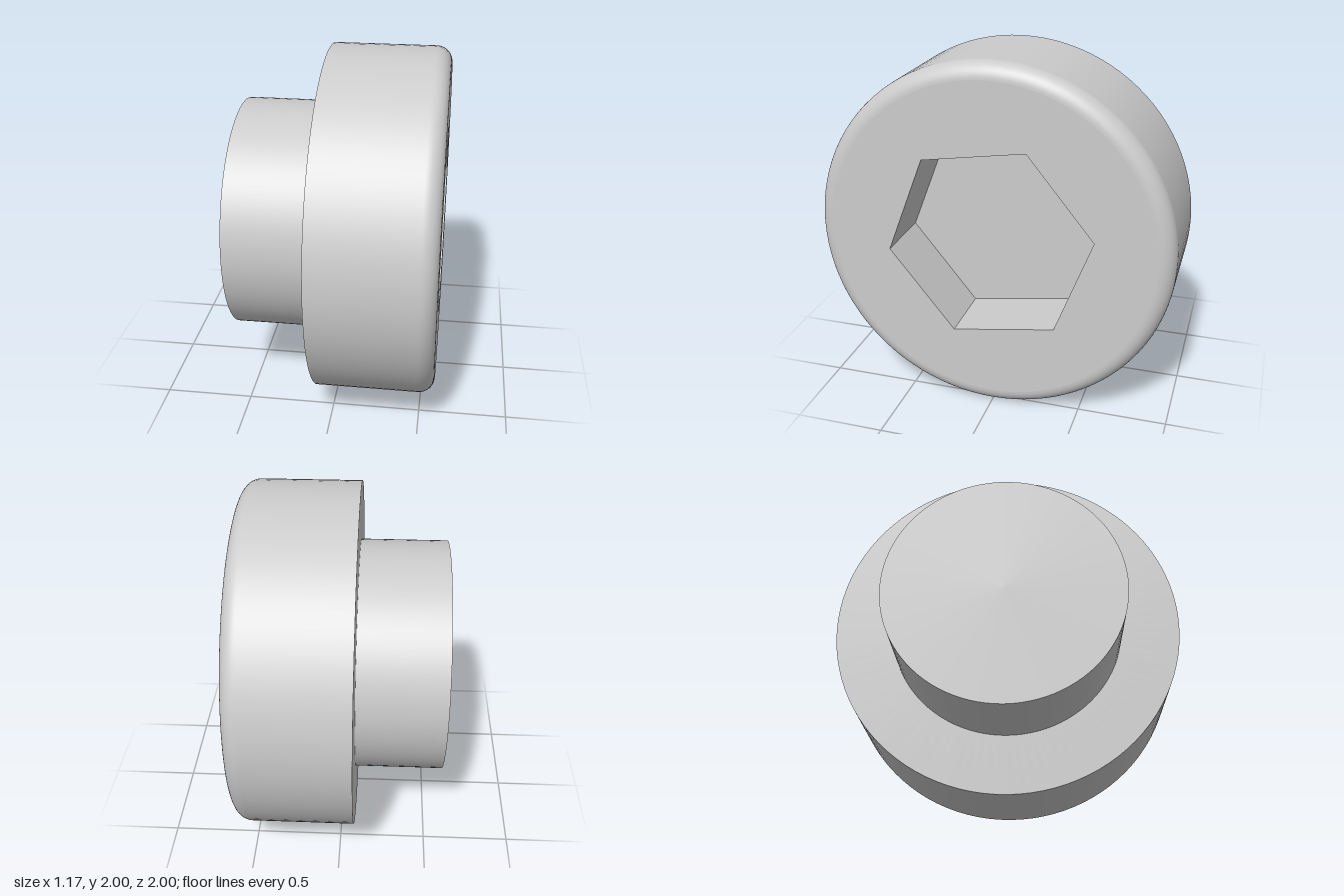
import * as THREE from 'three';

const HEAD_R = 1, SHANK_R = 0.667, HEX_R = 0.583;
const BACK = -0.583, STEP = -0.085, FRONT = 0.583;
const FILLET = 0.09, SOCKET_DEPTH = 0.37, TWIST = THREE.MathUtils.degToRad(9);
const SEGMENTS = 96;

export function createModel() {
  const group = new THREE.Group();
  const smooth = new THREE.MeshStandardMaterial({ color: 0xcccccc });
  const faceted = new THREE.MeshStandardMaterial({ color: 0xcccccc, flatShading: true, side: THREE.BackSide });

  const add = (name, geometry, material = smooth) => {
    const mesh = new THREE.Mesh(geometry, material);
    mesh.name = name;
    group.add(mesh);
    return mesh;
  };

  // Turned part about the x axis; profile is [radius, x]
  const turned = (profile) => new THREE.LatheGeometry(
    profile.map(([r, x]) => new THREE.Vector2(r, x)), SEGMENTS).rotateZ(-Math.PI / 2);

  // Shank with flat end; repeated points keep the corner sharp
  add('shank', turned([[0, BACK], [SHANK_R, BACK], [SHANK_R, BACK], [SHANK_R, STEP]]));

  // Head with shoulder and rounded front rim
  const head = [[SHANK_R, STEP], [HEAD_R, STEP], [HEAD_R, STEP]];
  for (let i = 0; i <= 10; i++) {
    const a = (i / 10) * Math.PI / 2;
    head.push([HEAD_R - FILLET + FILLET * Math.cos(a), FRONT - FILLET + FILLET * Math.sin(a)]);
  }
  add('head', turned(head));

  // Front face with hexagonal opening
  const face = new THREE.Shape().absarc(0, 0, HEAD_R - FILLET, 0, Math.PI * 2);
  const hexagon = Array.from({ length: 6 }, (_, i) => {
    const a = TWIST + i * Math.PI / 3;
    return new THREE.Vector2(HEX_R * Math.cos(a), HEX_R * Math.sin(a));
  });
  face.holes.push(new THREE.Path(hexagon));
  add('headFace', new THREE.ShapeGeometry(face, SEGMENTS).rotateY(Math.PI / 2)).position.x = FRONT;

  // Hexagonal socket: walls seen from inside, and floor
  add('socketWalls',
    new THREE.CylinderGeometry(HEX_R, HEX_R, SOCKET_DEPTH, 6, 1, true, TWIST).rotateZ(-Math.PI / 2),
    faceted).position.x = FRONT - SOCKET_DEPTH / 2;
  add('socketFloor', new THREE.CircleGeometry(HEX_R, 6, TWIST).rotateY(Math.PI / 2))
    .position.x = FRONT - SOCKET_DEPTH;

  group.position.y = HEAD_R;
  const root = new THREE.Group();
  root.name = 'socketHeadPlug';
  root.add(group);
  return root;
}
